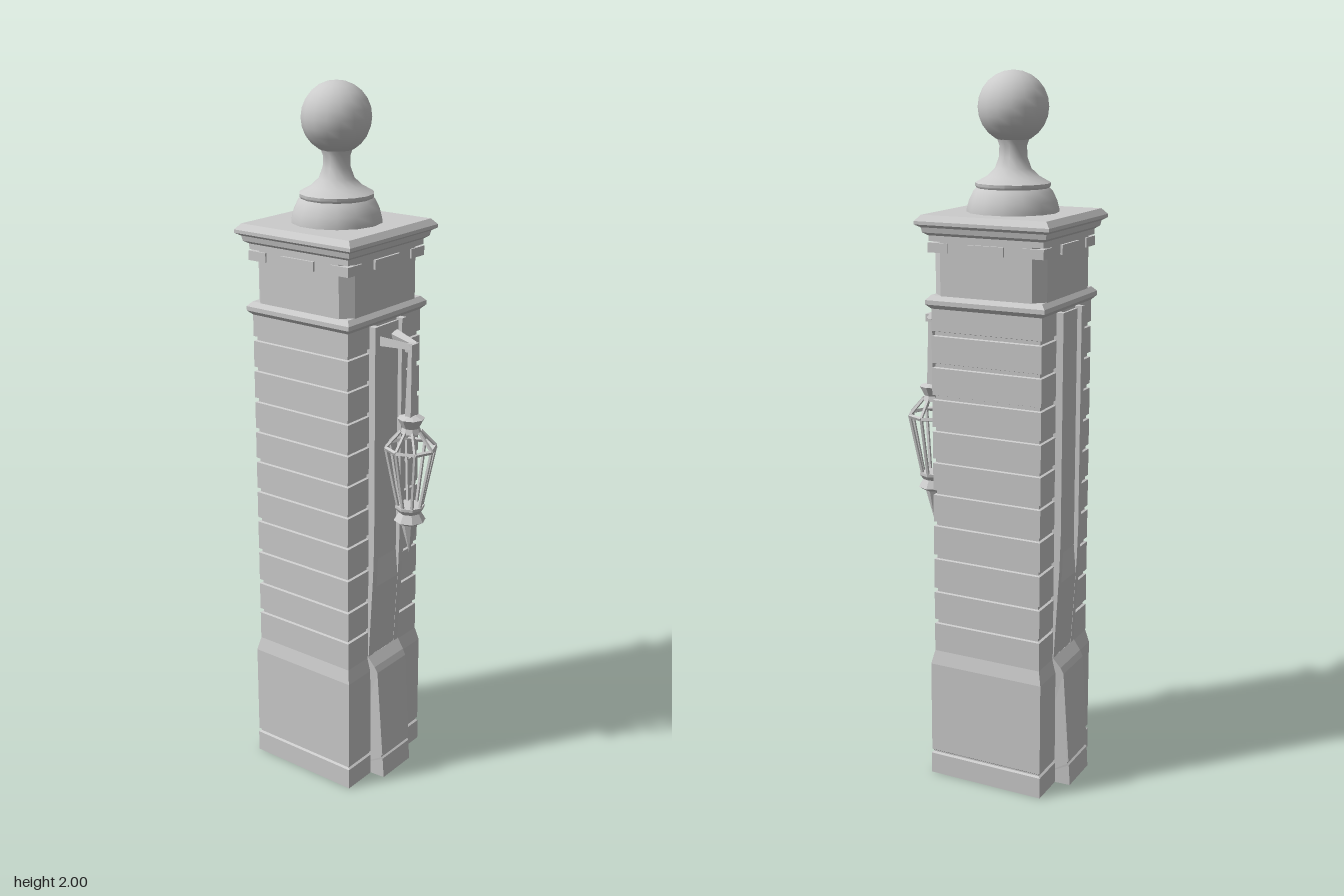
import * as THREE from 'three';
import { toCreasedNormals } from 'three/addons/utils/BufferGeometryUtils.js';

const CZ = -0.055; // pillar axis
const flat = new THREE.MeshStandardMaterial({ color: 0xcccccc, flatShading: true });
const smooth = new THREE.MeshStandardMaterial({ color: 0xcccccc });

function add(parent, name, geometry, material = flat) {
  const mesh = new THREE.Mesh(geometry, material);
  mesh.name = name;
  parent.add(mesh);
  return mesh;
}

// Square tower from [half width, y] pairs, bottom to top
function squareLoft(profile) {
  const pts = profile.map(([h, y]) => new THREE.Vector2(h * Math.SQRT2, y));
  return new THREE.LatheGeometry(pts, 4, Math.PI / 4);
}

function lathe(profile, sides) {
  return new THREE.LatheGeometry(profile.map(([r, y]) => new THREE.Vector2(r, y)), sides);
}

// Side profile of [distance out, y] extruded across x and facing +z
function sideProfile(profile, width) {
  const shape = new THREE.Shape(profile.map(([o, y]) => new THREE.Vector2(o, y)));
  return new THREE.ExtrudeGeometry(shape, { depth: width, bevelEnabled: false })
    .translate(0, 0, -width / 2)
    .rotateY(-Math.PI / 2);
}

// Straight four-sided bar between two points
function bar(parent, name, a, b, r0, r1 = r0, flatten = 1) {
  const from = new THREE.Vector3(...a), to = new THREE.Vector3(...b);
  const dir = to.clone().sub(from);
  const g = new THREE.CylinderGeometry(r1, r0, dir.length(), 4).rotateY(Math.PI / 4).scale(1, 1, flatten);
  const m = add(parent, name, g);
  m.position.copy(from).add(to).multiplyScalar(0.5);
  m.quaternion.setFromUnitVectors(new THREE.Vector3(0, 1, 0), dir.normalize());
  return m;
}

function createPillar() {
  const pillar = new THREE.Group();
  pillar.name = 'pillar';

  // Plinth with a thin groove and sloped shoulder
  add(pillar, 'plinth', squareLoft([
    [0, 0], [0.174, 0], [0.174, 0.062], [0.168, 0.066], [0.168, 0.07], [0.173, 0.074],
    [0.173, 0.345], [0.164, 0.385], [0, 0.385],
  ]));

  // Shaft of stone courses divided by grooves
  const seams = [0.475, 0.57, 0.67, 0.768, 0.86, 0.952, 1.042, 1.132, 1.222, 1.31];
  const shaft = [[0, 0.38], [0.164, 0.38]];
  for (const y of seams) {
    shaft.push([0.164, y - 0.007], [0.157, y - 0.005], [0.157, y + 0.005], [0.164, y + 0.007]);
  }
  shaft.push([0.164, 1.385], [0, 1.385]);
  add(pillar, 'shaft', squareLoft(shaft));

  // Moulding under the frieze
  add(pillar, 'necking', squareLoft([
    [0, 1.378], [0.164, 1.378], [0.176, 1.39], [0.176, 1.402], [0.164, 1.415], [0, 1.415],
  ]));

  // Frieze with chamfered corners
  const h = 0.165, c = 0.135;
  const plan = new THREE.Shape([
    [c, -h], [h, -c], [h, c], [c, h], [-c, h], [-h, c], [-h, -c], [-c, -h],
  ].map((p) => new THREE.Vector2(...p)));
  add(pillar, 'frieze', new THREE.ExtrudeGeometry(plan, { depth: 0.17, bevelEnabled: false })
    .rotateX(-Math.PI / 2).translate(0, 1.405, 0));

  // Blocks below the cap: one per side and one per corner
  for (let i = 0; i < 4; i++) {
    const side = new THREE.Group();
    side.name = 'friezeBlocks';
    side.rotation.y = i * Math.PI / 2;
    add(side, 'centreBlock', new THREE.BoxGeometry(0.11, 0.026, 0.02)).position.set(0, 1.543, 0.162);
    add(side, 'cornerBlock', new THREE.BoxGeometry(0.06, 0.026, 0.06)).position.set(0.14, 1.543, 0.14);
    pillar.add(side);
  }

  // Cap slab
  add(pillar, 'cap', squareLoft([
    [0, 1.56], [0.168, 1.56], [0.168, 1.575], [0.18, 1.583], [0.183, 1.597], [0.196, 1.605],
    [0.196, 1.614], [0.182, 1.63], [0, 1.63],
  ]));

  // Finial pedestal and ball
  add(pillar, 'finialPedestal', toCreasedNormals(lathe([
    [0.125, 1.625], [0.125, 1.637], [0.119, 1.66], [0.107, 1.685], [0.098, 1.694], [0.102, 1.7],
    [0.102, 1.707], [0.094, 1.712], [0.07, 1.725], [0.049, 1.745], [0.038, 1.775], [0.037, 1.805],
    [0.046, 1.83],
  ], 14), 0.6), smooth);
  add(pillar, 'finialBall', new THREE.SphereGeometry(0.095, 16, 12), smooth).position.y = 1.905;

  // Buttress and framed pilaster on front and back
  for (const turn of [0, Math.PI]) {
    const face = new THREE.Group();
    face.name = 'pilaster';
    face.rotation.y = turn;
    const buttress = sideProfile([
      [0.1, 0], [0.22, 0], [0.216, 0.062], [0.211, 0.066], [0.211, 0.071], [0.215, 0.075],
      [0.197, 0.345], [0.188, 0.362], [0.166, 0.39], [0.1, 0.39],
    ], 2);
    const p = buttress.attributes.position;
    for (let i = 0; i < p.count; i++) {
      const out = Math.abs(p.getZ(i));
      p.setX(i, p.getX(i) * (0.074 - 0.16 * Math.max(0, out - 0.165)));
    }
    add(face, 'buttress', buttress);
    add(face, 'panel', sideProfile([
      [0.1, 0.38], [0.165, 0.38], [0.178, 0.61], [0.171, 0.69], [0.171, 1.372], [0.1, 1.372],
    ], 0.12));
    for (const s of [-1, 1]) {
      add(face, 'panelEdge', sideProfile([
        [0.1, 0.38], [0.166, 0.38], [0.181, 0.65], [0.184, 0.75], [0.184, 1.378], [0.1, 1.378],
      ], 0.02)).position.x = s * 0.061;
    }
    pillar.add(face);
  }
  pillar.position.z = CZ;
  return pillar;
}

function createLantern() {
  const lantern = new THREE.Group();
  lantern.name = 'lantern';
  lantern.position.z = 0.199;

  // Bracket arms and flat hanger
  for (const s of [-1, 1]) {
    bar(lantern, 'bracketArm', [s * 0.036, 1.332, -0.085], [s * 0.009, 1.324, 0.004], 0.018, 0.011);
  }
  add(lantern, 'bracketTip', new THREE.BoxGeometry(0.034, 0.022, 0.022)).position.y = 1.321;
  bar(lantern, 'hanger', [0, 1.1, 0], [0, 1.325, 0], 0.024, 0.014, 0.6);

  // Flared crown
  add(lantern, 'crown', lathe([
    [0, 1.08], [0.03, 1.08], [0.024, 1.095], [0.038, 1.122], [0.014, 1.13], [0, 1.13],
  ], 8));

  // Open eight-sided cage
  const ring = (i, r, y) => {
    const a = i * Math.PI / 4;
    return [Math.sin(a) * r, y, Math.cos(a) * r];
  };
  for (let i = 0; i < 8; i++) {
    bar(lantern, 'roofBar', ring(i, 0.028, 1.085), ring(i, 0.069, 1.04), 0.005);
    bar(lantern, 'cageRim', ring(i, 0.069, 1.037), ring(i + 1, 0.069, 1.037), 0.006);
    bar(lantern, 'cageBar', ring(i, 0.033, 0.86), ring(i, 0.069, 1.037), 0.005);
  }

  // Flared foot and pointed drop
  add(lantern, 'foot', lathe([
    [0, 0.866], [0.041, 0.866], [0.041, 0.858], [0.031, 0.845], [0.045, 0.822], [0.024, 0.81], [0, 0.72],
  ].reverse(), 8));
  return lantern;
}

export function createModel() {
  const model = new THREE.Group();
  model.name = 'gatePillar';
  model.add(createPillar(), createLantern());
  return model;
}
